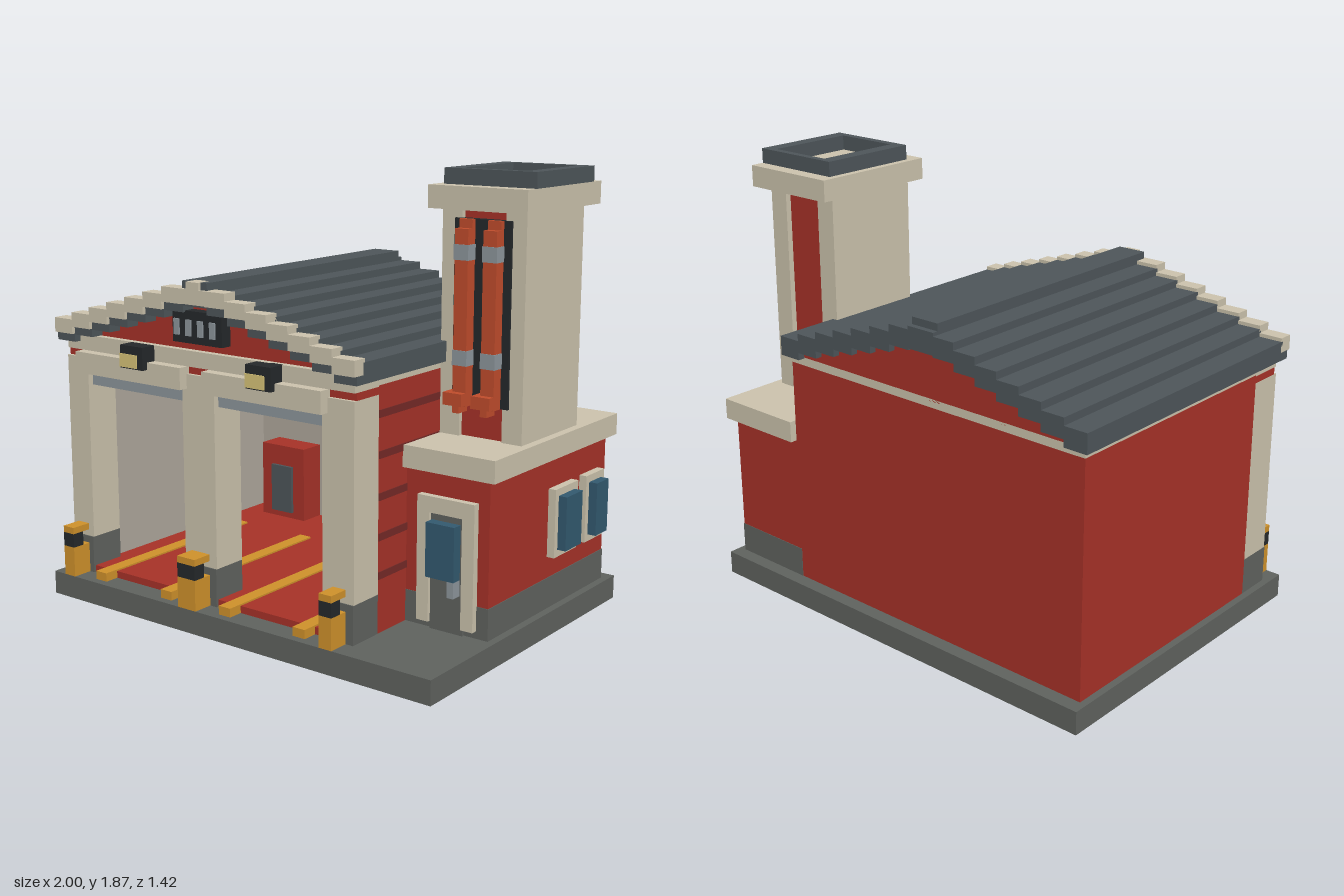
import * as THREE from 'three';

const C = {
  red: 0xa83228, darkRed: 0x762a27, cream: 0xcdc4ae, lining: 0xb0a99d, stone: 0x60635f,
  roof: 0x4e565a, black: 0x25292b, orange: 0xd0922b, hose: 0xc24d2c, steel: 0x8e979d,
  blue: 0x335a70, lamp: 0xd8c478,
};

export function createModel() {
  const model = new THREE.Group();
  const mats = {};
  let group;
  const part = (name) => {
    group = new THREE.Group();
    group.name = name;
    model.add(group);
  };
  // Box given by its limits on each axis
  const box = (name, color, x0, x1, y0, y1, z0, z1) => {
    mats[color] ??= new THREE.MeshStandardMaterial({ color: C[color] });
    const mesh = new THREE.Mesh(new THREE.BoxGeometry(x1 - x0, y1 - y0, z1 - z0), mats[color]);
    mesh.position.set((x0 + x1) / 2, (y0 + y1) / 2, (z0 + z1) / 2);
    mesh.name = name;
    group.add(mesh);
  };

  part('base');
  box('slab', 'stone', -1, 0.965, 0, 0.1, -0.71, 0.71);

  // Main hall: hollow shell with a pale lining
  part('hall');
  box('leftOuterWall', 'red', -0.97, -0.91, 0.1, 1.085, -0.65, 0.46);
  box('rightOuterWall', 'red', 0.49, 0.55, 0.1, 1.085, -0.65, 0.46);
  box('backWall', 'red', -0.91, 0.49, 0.1, 1.085, -0.65, -0.59);
  box('backLining', 'lining', -0.91, 0.49, 0.1, 1.08, -0.59, -0.565);
  box('sideLining', 'lining', -0.91, -0.88, 0.1, 1.08, -0.565, 0.46);
  box('sideLining', 'lining', 0.46, 0.49, 0.1, 1.08, -0.565, 0.46);
  box('ceiling', 'lining', -0.88, 0.46, 1.02, 1.08, -0.565, 0.46);
  box('wallTopBand', 'cream', -0.97, 0.55, 1.085, 1.12, -0.65, 0.46);
  box('floor', 'red', -0.88, 0.46, 0.1, 0.13, -0.565, 0.61);
  for (const x of [-0.78, -0.4, -0.08, 0.3])
    box('floorStripe', 'orange', x, x + 0.06, 0.1, 0.137, -0.25, 0.675);
  for (const y of [0.32, 0.475, 0.635, 0.8, 0.96])
    box('brickBand', 'darkRed', 0.54, 0.554, y, y + 0.03, -0.64, 0.458);

  // Front pillars, beams and raised doors
  part('facade');
  for (const [x0, x1] of [[-0.97, -0.85], [-0.31, -0.14], [0.4, 0.55]]) {
    box('pillarFoot', 'stone', x0, x1, 0.1, 0.26, 0.46, 0.62);
    box('pillar', 'cream', x0, x1, 0.26, 1.05, 0.46, 0.615);
    box('pillarTop', 'red', x0, x1, 1.05, 1.08, 0.46, 0.6);
  }
  box('topBeam', 'cream', -0.97, 0.55, 1.08, 1.145, 0.46, 0.61);
  for (const [x0, x1] of [[-0.85, -0.31], [-0.14, 0.4]]) {
    box('raisedDoor', 'steel', x0, x1, 0.93, 0.99, 0.5, 0.59);
    box('lintelCore', 'cream', x0, x1, 0.99, 1.08, 0.46, 0.6);
    box('lintel', 'cream', x0 - 0.03, x1 + 0.025, 0.99, 1.08, 0.6, 0.655);
  }
  for (const x of [-0.59, 0.08]) {
    box('lampHousing', 'black', x, x + 0.125, 1.05, 1.145, 0.6, 0.68);
    box('lampFace', 'lamp', x, x + 0.095, 1.055, 1.11, 0.67, 0.685);
  }

  // Stepped roof, mirrored about the ridge, with gable walls filling beneath
  part('roof');
  const ridge = -0.21, steps = 7, width = 0.104;
  for (let i = 0; i < steps; i++) {
    const top = 1.213 + i * 0.0312;
    const outer = 0.79 - i * width;
    for (const s of [-1, 1]) {
      const xs = [ridge + s * outer, ridge + s * (outer - width)].sort((a, b) => a - b);
      box('roofStep', 'roof', xs[0], xs[1], top - 0.097, top - 0.015, -0.68, 0.6);
      box('fasciaStep', 'cream', xs[0], xs[1], top - 0.062, top, 0.59, 0.655);
      box('fasciaUnderside', 'roof', xs[0], xs[1], top - 0.097, top - 0.062, 0.6, 0.64);
      if (i > 0)
        for (const [z0, z1] of [[-0.65, -0.59], [0.5, 0.58]])
          box('gable', 'red', xs[0], xs[1], 1.11, top - 0.09, z0, z1);
    }
  }
  box('ridgeCap', 'roof', ridge - 0.065, ridge + 0.065, 1.33, 1.43, -0.655, 0.64);
  box('ridgeBack', 'roof', ridge - 0.065, ridge + 0.065, 1.31, 1.4, -0.68, -0.65);
  box('fasciaPeak', 'cream', ridge - 0.065, ridge + 0.065, 1.34, 1.4, 0.59, 0.655);
  box('fasciaPeakTip', 'cream', ridge - 0.033, ridge + 0.033, 1.4, 1.43, 0.59, 0.655);
  box('gablePeak', 'red', ridge - 0.065, ridge + 0.065, 1.11, 1.34, 0.5, 0.58);
  box('gablePeak', 'red', ridge - 0.065, ridge + 0.065, 1.11, 1.34, -0.65, -0.59);
  box('ventFrame', 'black', -0.34, -0.08, 1.18, 1.31, 0.57, 0.63);
  for (let i = 0; i < 4; i++)
    box('ventSlat', 'steel', -0.33 + i * 0.063, -0.302 + i * 0.063, 1.21, 1.275, 0.62, 0.637);

  // Side annex with door and windows
  part('annex');
  box('footing', 'stone', 0.55, 0.933, 0.1, 0.23, -0.652, 0.273);
  box('walls', 'red', 0.55, 0.93, 0.23, 0.735, -0.65, 0.27);
  box('flatRoof', 'cream', 0.55, 0.965, 0.735, 0.825, -0.68, 0.3);
  for (const x of [0.62, 0.825])
    box('doorPost', 'cream', x, x + 0.055, 0.13, 0.64, 0.265, 0.3);
  box('doorHead', 'cream', 0.675, 0.825, 0.575, 0.64, 0.265, 0.3);
  box('door', 'stone', 0.675, 0.825, 0.1, 0.575, 0.265, 0.285);
  box('doorPane', 'blue', 0.68, 0.81, 0.325, 0.545, 0.28, 0.33);
  box('doorHandle', 'steel', 0.78, 0.81, 0.26, 0.325, 0.28, 0.33);
  for (const [z0, z1] of [[-0.36, -0.175], [-0.585, -0.43]]) {
    box('windowFrame', 'cream', 0.92, 0.963, 0.32, 0.605, z0, z1);
    box('windowPane', 'blue', 0.95, 1, 0.35, 0.575, z0 + 0.03, z1 - 0.025);
  }

  // Tower with recessed red strips front and back
  part('tower');
  for (const x of [0.555, 0.84])
    box('corner', 'cream', x, x + 0.09, 0.82, 1.72, -0.39, 0.05);
  box('recessedWall', 'red', 0.645, 0.84, 0.82, 1.72, -0.365, 0.03);
  box('crown', 'cream', 0.525, 0.965, 1.72, 1.81, -0.46, 0.11);
  box('rim', 'roof', 0.555, 0.965, 1.81, 1.872, -0.4, -0.37);
  box('rim', 'roof', 0.555, 0.965, 1.81, 1.872, 0.01, 0.045);
  box('rim', 'roof', 0.555, 0.615, 1.81, 1.872, -0.37, 0.01);
  box('rim', 'roof', 0.905, 0.965, 1.81, 1.872, -0.37, 0.01);

  // Hanging hoses on a dark board
  part('hoses');
  box('board', 'black', 0.617, 0.87, 0.96, 1.685, 0.03, 0.06);
  for (const x of [0.65, 0.777]) {
    box('hose', 'hose', x, x + 0.06, 0.96, 1.65, 0.05, 0.11);
    box('hoseTop', 'hose', x, x + 0.06, 1.65, 1.685, 0.05, 0.08);
    box('hoseCurl', 'hose', x - 0.025, x + 0.06, 0.965, 1.015, 0.05, 0.14);
    box('hoseEnd', 'hose', x, x + 0.03, 0.93, 0.965, 0.05, 0.11);
    for (const y of [1.12, 1.53])
      box('clamp', 'steel', x - 0.003, x + 0.063, y, y + 0.06, 0.05, 0.113);
  }

  // Bollards guarding the bays
  part('bollards');
  for (const [x0, x1] of [[-0.935, -0.875], [-0.27, -0.175], [0.455, 0.515]]) {
    box('post', 'orange', x0, x1, 0.1, 0.23, 0.655, 0.71);
    box('band', 'black', x0, x1, 0.23, 0.29, 0.655, 0.71);
    box('cap', 'orange', x0, x1, 0.29, 0.318, 0.62, 0.71);
    box('bracket', 'orange', x0, x1, 0.1, 0.23, 0.62, 0.655);
  }

  // Locker and shelf against the back wall of the bays
  part('interior');
  box('locker', 'red', -0.78, -0.53, 0.13, 0.48, -0.565, -0.44);
  box('lockerPanel', 'roof', -0.715, -0.595, 0.16, 0.385, -0.45, -0.425);
  for (const x of [-0.02, 0.33])
    for (const z of [-0.565, -0.44])
      box('shelfPost', 'roof', x, x + 0.03, 0.13, 0.64, z, z + 0.03);
  for (const y of [0.2, 0.42, 0.64])
    box('shelf', 'steel', -0.02, 0.36, y, y + 0.06, -0.565, -0.4);
  for (const x of [0.045, 0.2])
    box('crate', 'orange', x, x + 0.095, 0.48, 0.605, -0.54, -0.42);

  return model;
}
